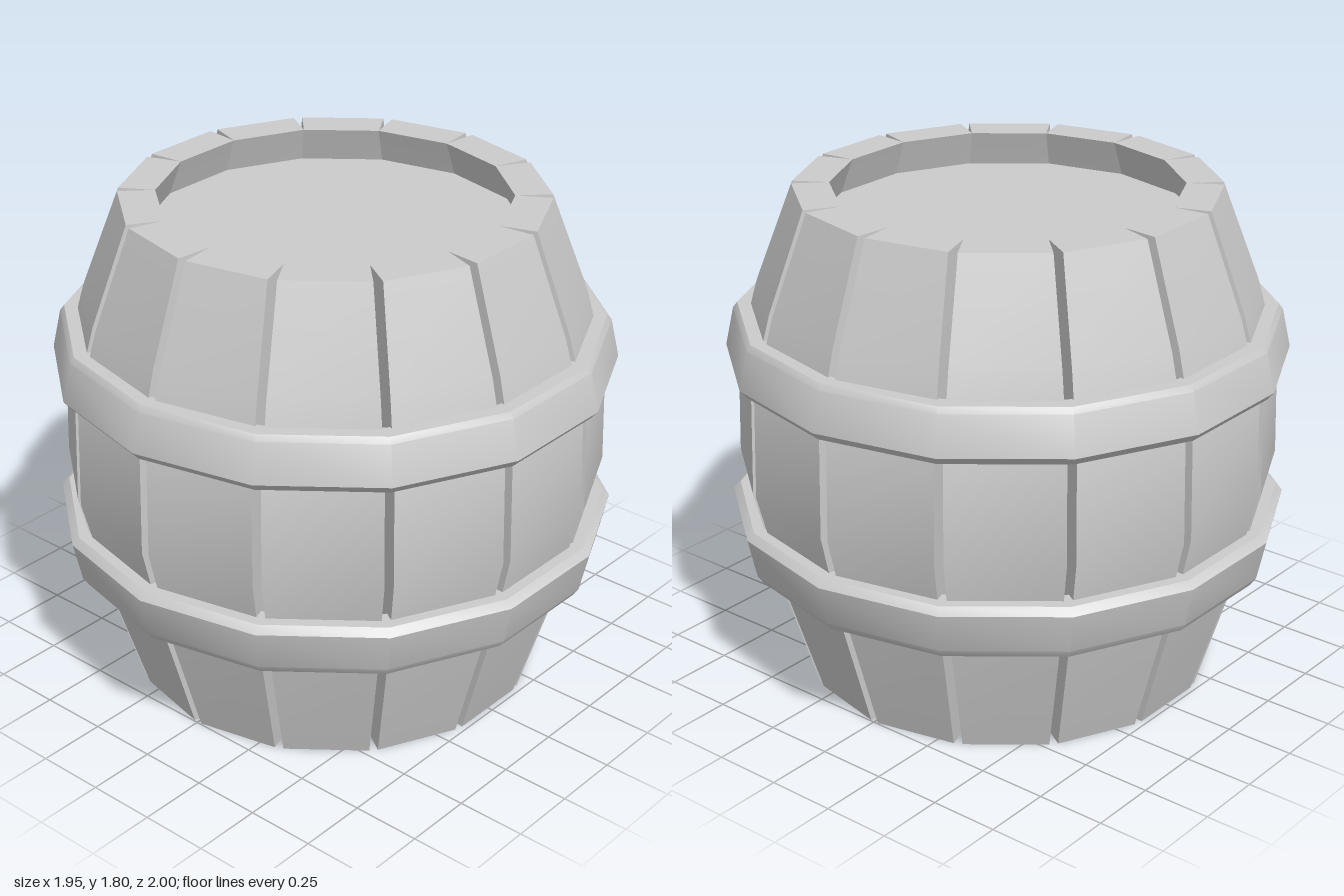
import * as THREE from 'three';
import { toCreasedNormals } from 'three/addons/utils/BufferGeometryUtils.js';

const SIDES = 14;
const STEP = (Math.PI * 2) / SIDES;
const TAN = Math.tan(STEP / 2);
const COS = Math.cos(STEP / 2);
const CREASE = 0.52;

// [height, distance of the stave's outer face from the axis]
const PROFILE = [[0, 0.73], [0.4, 0.85], [0.8, 0.945], [1.17, 0.935], [1.45, 0.86], [1.8, 0.73]];
const THICKNESS = 0.13;
const HALF_GAP = 0.016;

const material = new THREE.MeshStandardMaterial({ color: 0xcccccc });

function addMesh(parent, name, geometry) {
  const mesh = new THREE.Mesh(geometry, material);
  mesh.name = name;
  parent.add(mesh);
  return mesh;
}

// A bowed board: full width inside, narrower outside so a V gap opens between staves
function staveGeometry() {
  const rows = PROFILE.length - 1;
  const geo = new THREE.BoxGeometry(2, rows, 2, 1, rows, 1);
  const pos = geo.attributes.position;
  for (let i = 0; i < pos.count; i++) {
    const [y, outer] = PROFILE[Math.round(pos.getY(i) + rows / 2)];
    const isOuter = pos.getZ(i) > 0;
    const r = isOuter ? outer : outer - THICKNESS;
    const half = r * TAN - (isOuter ? HALF_GAP : 0);
    pos.setXYZ(i, Math.sign(pos.getX(i)) * half, y, r);
  }
  return toCreasedNormals(geo, CREASE);
}

// Closed bevelled ring; profile points are [face distance, height]
function hoopGeometry(points) {
  const profile = points.map(([r, y]) => new THREE.Vector2(r / COS, y));
  return toCreasedNormals(new THREE.LatheGeometry(profile, SIDES), CREASE);
}

// One floor board, cut to the round outline, extruded upwards
function floorPlank(x0, x1, radius, thickness) {
  const edge = [];
  for (let i = 0; i <= 4; i++) {
    const x = x0 + ((x1 - x0) * i) / 4;
    edge.push(new THREE.Vector2(x, Math.sqrt(Math.max(0, radius * radius - x * x))));
  }
  const back = edge.map((p) => new THREE.Vector2(p.x, -p.y)).reverse();
  const geo = new THREE.ExtrudeGeometry(new THREE.Shape([...edge, ...back]), {
    depth: thickness, bevelEnabled: false,
  });
  return geo.rotateX(-Math.PI / 2);
}

export function createModel() {
  const barrel = new THREE.Group();
  barrel.name = 'barrel';

  // Staves
  const staves = new THREE.Group();
  staves.name = 'staves';
  barrel.add(staves);
  const stave = staveGeometry();
  for (let i = 0; i < SIDES; i++) {
    addMesh(staves, 'stave', stave).rotation.y = (i + 0.5) * STEP;
  }

  // Hoops, flaring towards the middle of the barrel
  addMesh(barrel, 'upperHoop', hoopGeometry([
    [0.88, 1.17], [0.95, 1.17], [0.975, 1.2], [0.945, 1.34], [0.93, 1.36], [0.87, 1.36], [0.88, 1.17],
  ]));
  addMesh(barrel, 'lowerHoop', hoopGeometry([
    [0.85, 0.46], [0.925, 0.46], [0.945, 0.49], [0.975, 0.635], [0.95, 0.66], [0.87, 0.66], [0.85, 0.46],
  ]));

  // Recessed lid
  const lid = new THREE.CylinderGeometry(0.69, 0.69, 0.06, SIDES);
  addMesh(barrel, 'lid', lid).position.y = 1.64;

  // Recessed floor: planks with narrow slots under a backing disc
  const floor = new THREE.Group();
  floor.name = 'floor';
  barrel.add(floor);
  const backing = new THREE.CylinderGeometry(0.69, 0.69, 0.04, SIDES);
  addMesh(floor, 'floorBacking', backing).position.y = 0.18;
  const width = 0.22;
  for (let i = -3; i < 3; i++) {
    const plank = floorPlank(i * width + 0.008, (i + 1) * width - 0.008, 0.69, 0.03);
    addMesh(floor, 'floorPlank', plank).position.y = 0.13;
  }

  return barrel;
}
